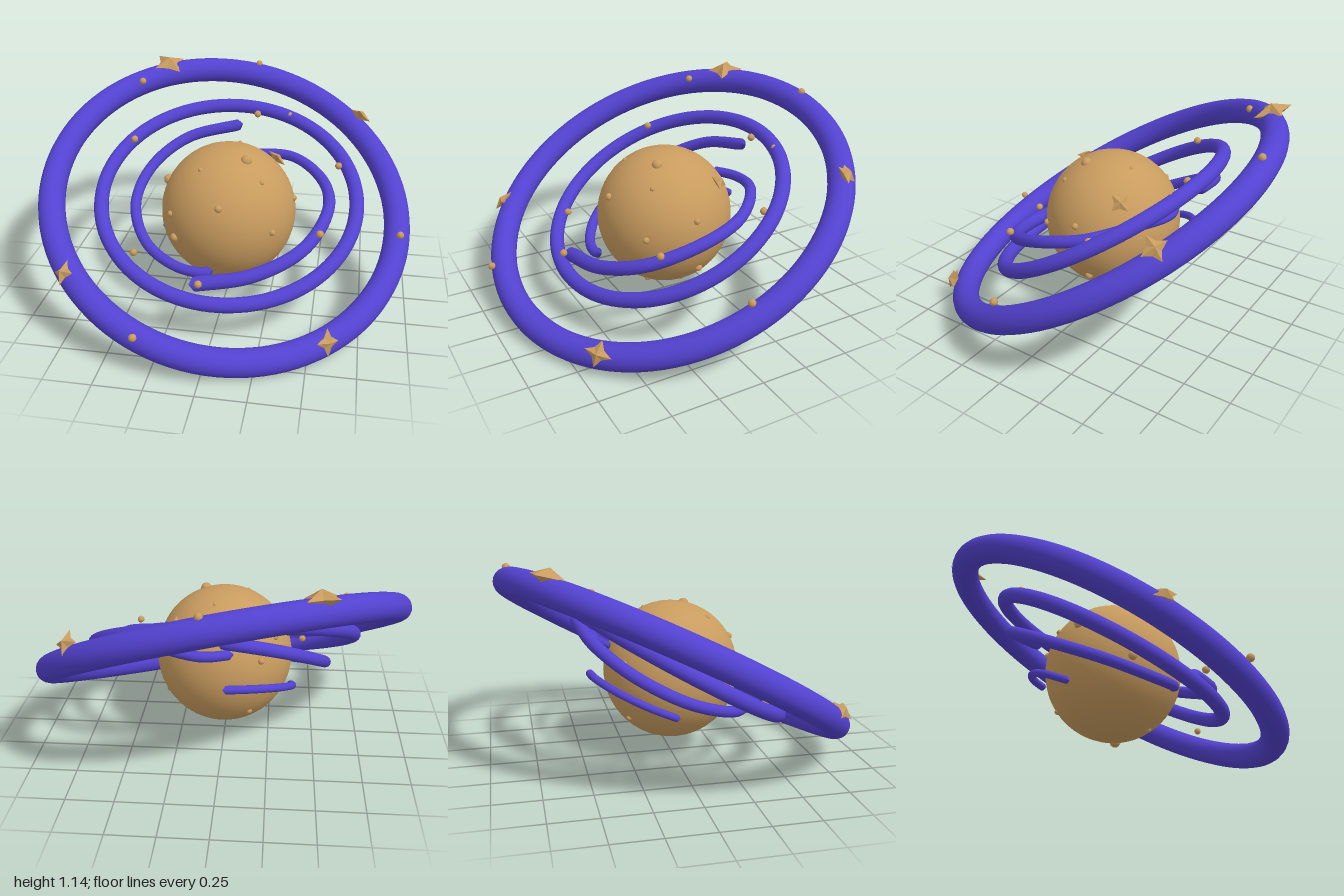
import * as THREE from 'three';

const V = (x, y, z) => new THREE.Vector3(x, y, z);
const CENTER = V(0, 0.46, 0);
const RADIUS = 0.37;

// Tilted elliptical loop: skew turns the long axis, (a, b) is the slope of its plane
function loopCurve(rx, rz, skew, y0, a, b) {
  const pts = [];
  for (let i = 0; i < 48; i++) {
    const t = (i / 48) * Math.PI * 2;
    const x = rx * Math.cos(t), z = rz * Math.sin(t + skew);
    pts.push(V(x, y0 + a * x + b * z, z));
  }
  return new THREE.CatmullRomCurve3(pts, true);
}

// Open swept arm whose radius goes from r0 to r1, with rounded ends
function armGeometry(points, r0, r1, segs = 72, sides = 14) {
  const curve = new THREE.CatmullRomCurve3(points.map((p) => V(...p)));
  const geo = new THREE.TubeGeometry(curve, segs, 1, sides, false);
  const pos = geo.attributes.position, length = curve.getLength(), v = V(0, 0, 0);
  for (let i = 0; i <= segs; i++) {
    const t = i / segs, c = curve.getPointAt(t);
    const base = r0 + (r1 - r0) * t;
    const e = Math.min(1, (Math.min(t, 1 - t) * length) / base);
    const r = base * Math.sqrt(1 - (1 - e) * (1 - e));
    for (let j = 0; j <= sides; j++) {
      const k = i * (sides + 1) + j;
      v.fromBufferAttribute(pos, k).sub(c).multiplyScalar(r).add(c);
      pos.setXYZ(k, v.x, v.y, v.z);
    }
  }
  return geo;
}

// Four-pointed puffy star lying in XY, domed on both sides
function starGeometry() {
  const out = [];
  const rim = (i) => {
    const a = (i * Math.PI) / 4, r = i % 2 ? 0.5 : 1;
    return [r * Math.cos(a), r * Math.sin(a), 0];
  };
  for (let i = 0; i < 8; i++) {
    out.push(...rim(i), ...rim(i + 1), 0, 0, 0.42);
    out.push(...rim(i + 1), ...rim(i), 0, 0, -0.42);
  }
  const geo = new THREE.BufferGeometry();
  geo.setAttribute('position', new THREE.Float32BufferAttribute(out, 3));
  geo.computeVertexNormals();
  return geo;
}

export function createModel() {
  const model = new THREE.Group();
  const gold = new THREE.MeshStandardMaterial({ color: 0xc99c5f });
  gold.name = 'gold';
  const violet = new THREE.MeshStandardMaterial({ color: 0x5342d0 });
  violet.name = 'violet';

  const add = (name, geo, mat) => {
    const m = new THREE.Mesh(geo, mat);
    m.name = name;
    model.add(m);
    return m;
  };

  // Planet
  const planet = add('planet', new THREE.SphereGeometry(RADIUS, 40, 28), gold);
  planet.position.copy(CENTER);
  planet.scale.y = 1.02;

  // Closed rings
  add('outerRing', new THREE.TubeGeometry(
    loopCurve(0.93, 0.86, -0.116, 0.53, -0.24, -0.527), 110, 0.071, 20, true), violet);
  add('middleRing', new THREE.TubeGeometry(
    loopCurve(0.7, 0.57, -0.06, 0.535, -0.08, -0.58), 96, 0.04, 16, true), violet);

  // Spiral arms around the planet
  add('rightArm', armGeometry([
    [-0.07, 0.62, -0.35], [0.09, 0.63, -0.41], [0.32, 0.65, -0.35], [0.5, 0.6, -0.17],
    [0.55, 0.54, 0.06], [0.44, 0.43, 0.33], [0.2, 0.34, 0.48], [-0.12, 0.285, 0.53],
  ], 0.026, 0.04), violet);
  add('leftArm', armGeometry([
    [-0.02, 0.29, 0.38], [-0.07, 0.28, 0.395], [-0.22, 0.28, 0.36], [-0.42, 0.33, 0.22],
    [-0.545, 0.44, -0.04], [-0.5, 0.57, -0.28], [-0.32, 0.69, -0.45], [0, 0.77, -0.52],
  ], 0.028, 0.034), violet);
  add('lowerArm', armGeometry([
    [-0.02, 0.47, -0.455], [-0.14, 0.465, -0.43], [-0.28, 0.43, -0.34],
    [-0.37, 0.37, -0.2], [-0.37, 0.29, -0.03],
  ], 0.022, 0.02, 40), violet);

  // Stars: position, facing direction, size, spin
  const starGeo = starGeometry();
  [
    [[-0.48, 1.07, -0.68], [0.1, 0.95, 0.25], 0.108, 0.75],
    [[0.69, 0.81, -0.67], [0.55, 0.65, -0.5], 0.07, 0.3],
    [[-0.71, 0.4, 0.7], [-0.5, 0.65, 0.55], 0.068, 0.1],
    [[0.6, 0.125, 0.68], [0.65, 0.35, 0.6], 0.07, 1.5],
    [[0.24, 0.7, -0.2], [0.6, 0.6, -0.5], 0.06, 0.4],
  ].forEach(([p, n, size, spin], i) => {
    const s = add('star' + (i + 1), starGeo, gold);
    s.position.set(...p);
    s.quaternion.setFromUnitVectors(V(0, 0, 1), V(...n).normalize());
    s.rotateZ(spin);
    s.scale.setScalar(size);
  });

  // Beads on the rings
  const beadGeo = new THREE.SphereGeometry(1, 12, 8);
  const bead = (name, p, r) => {
    const b = add(name, beadGeo, gold);
    b.position.copy(p);
    b.scale.setScalar(r);
  };
  [
    [0.05, 1.045, -0.86], [-0.6, 1.01, -0.5], [0.09, 0.845, -0.5], [0.28, 0.84, -0.52],
    [-0.58, 0.76, -0.2], [0.585, 0.655, -0.25], [0.94, 0.405, 0.05], [-0.44, 0.37, 0.4],
    [0.52, 0.51, 0.3], [-0.06, 0.325, 0.58], [-0.31, 0.21, 0.91],
  ].forEach((p) => bead('ringBead', V(...p), 0.02));

  // Bumps on the planet: direction from its centre, size
  [
    [0, 0.165, 0.33, 0.02], [-0.25, -0.055, 0.27, 0.024], [-0.275, 0.07, 0.24, 0.016],
    [-0.34, 0.16, 0, 0.028], [0.27, 0.01, 0.25, 0.018], [0.11, 0.345, 0.1, 0.03],
    [0.365, 0.1, 0, 0.018], [-0.12, 0.305, 0.175, 0.014], [0.2, 0.255, 0.175, 0.014],
    [-0.215, 0.1, -0.3, 0.018], [-0.28, 0.18, -0.17, 0.016], [0.04, 0.34, -0.14, 0.014],
    [0.3, -0.21, -0.045, 0.022], [0.1, -0.36, -0.05, 0.03], [0.1, -0.33, 0.16, 0.018],
    [-0.15, -0.22, -0.26, 0.016],
  ].forEach(([x, y, z, r]) =>
    bead('planetBump', V(x, y, z).setLength(RADIUS).add(CENTER), r));

  return model;
}
